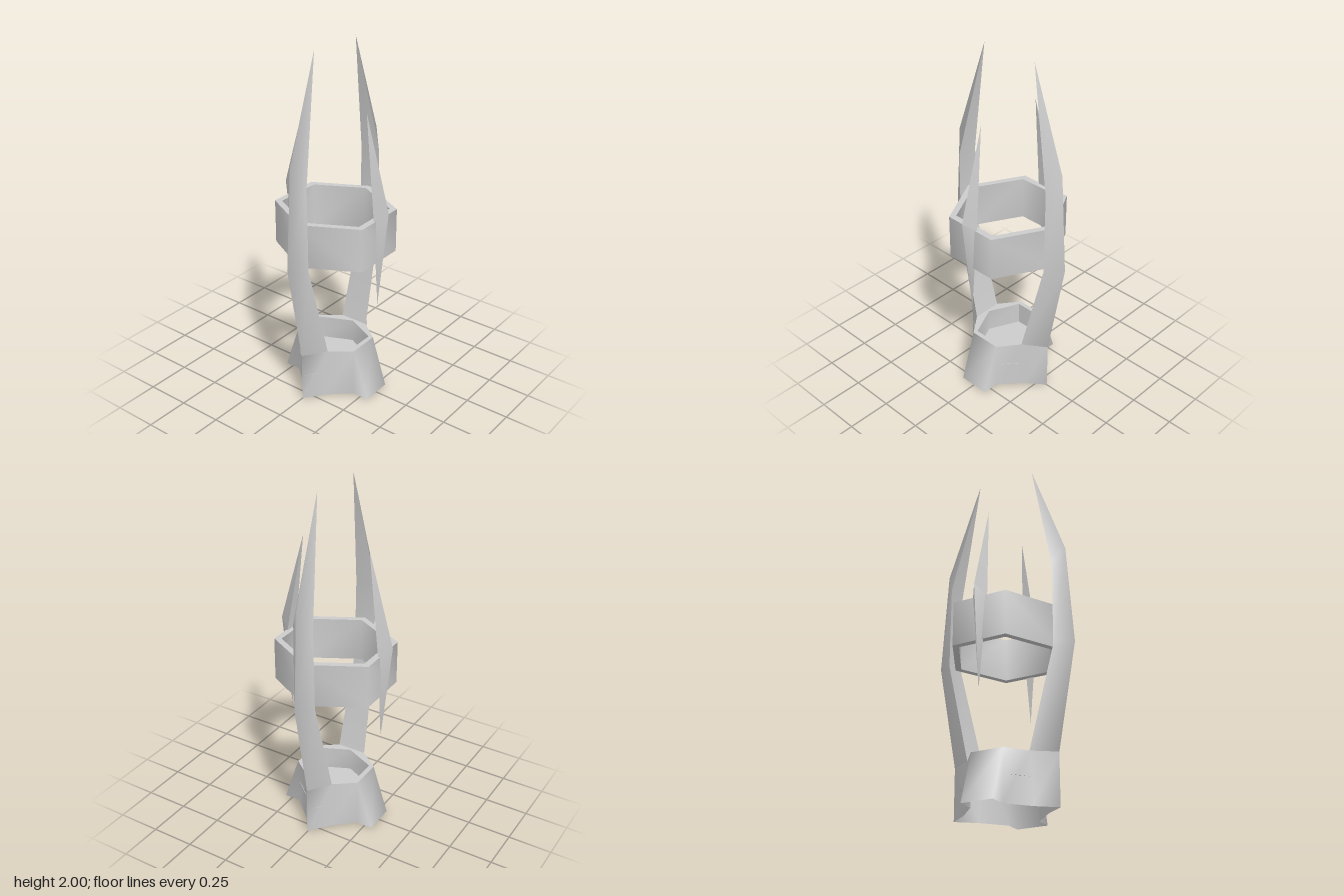
import * as THREE from 'three';
import { toCreasedNormals } from 'three/addons/utils/BufferGeometryUtils.js';

// Skin over closed cross-sections; each is a list of [x, y, z] turning from +x towards +z
function loft(sections, crease) {
  const n = sections[0].length;
  const index = [];
  for (let s = 0; s < sections.length - 1; s++) {
    for (let i = 0; i < n; i++) {
      const a = s * n + i, b = s * n + (i + 1) % n;
      index.push(a, a + n, b, b, a + n, b + n);
    }
  }
  const g = new THREE.BufferGeometry();
  g.setAttribute('position', new THREE.Float32BufferAttribute(sections.flat(2), 3));
  g.setIndex(index);
  return toCreasedNormals(g, crease);
}

// Mirrors a quarter outline, given from the +x side to the +z tip, all the way round
function mirrorOutline(quarter) {
  const half = [...quarter];
  for (const [x, z] of [...quarter].reverse()) if (x > 0) half.push([-x, z]);
  const back = [...half].reverse().filter(([, z]) => z > 0).map(([x, z]) => [x, -z]);
  return [...half, ...back];
}

const atHeight = (outline, y) => outline.map(([x, z]) => [x, y, z]);
const toPoints = (outline) => outline.map(([x, z]) => new THREE.Vector2(x, -z));

function plate(outline, y, hole) {
  const shape = new THREE.Shape(toPoints(outline));
  if (hole) shape.holes.push(new THREE.Path(toPoints(hole)));
  return new THREE.ShapeGeometry(shape).rotateX(-Math.PI / 2).translate(0, y, 0);
}

// Three-sided blade: rows of inner height, inner z, half width, ridge height, ridge z
function blade(rows) {
  return loft(rows.map(([yi, zi, w, yo, zo]) => [[w, yi, zi], [0, yo, zo], [-w, yi, zi]]), 2.0);
}

export function createModel() {
  const model = new THREE.Group();
  const metal = new THREE.MeshStandardMaterial({ color: 0xcccccc, side: THREE.DoubleSide });
  metal.name = 'grey metal';

  const add = (name, geometry, turn = 0) => {
    const mesh = new THREE.Mesh(geometry, metal);
    mesh.name = name;
    mesh.rotation.y = turn;
    model.add(mesh);
  };

  // Hollow base: flared side fins and a ridge at front and back
  const rimY = 0.285, floorY = 0.15;
  const foot = mirrorOutline([[0.295, 0.09], [0.2, 0.09], [0.08, 0.2], [0, 0.305]]);
  const top = mirrorOutline([[0.2, 0.092], [0.2, 0.092], [0.085, 0.18], [0, 0.305]]);
  const rim = mirrorOutline([[0.2, 0.092], [0.085, 0.18]]);
  const well = mirrorOutline([[0.175, 0.085], [0, 0.165]]);
  add('baseShell', loft([atHeight(foot, 0), atHeight(top, rimY)], 2.0));
  add('baseRim', plate(rim, rimY, well));
  add('baseWell', loft([atHeight(well, rimY), atHeight(well, floorY)], 1.13));
  add('baseFloor', plate(mirrorOutline([[0.2, 0.09], [0.083, 0.19], [0, 0.305]]), floorY));

  // Six-sided ring
  const ringShape = new THREE.Shape(toPoints(mirrorOutline([[0.295, 0.157], [0, 0.315]])));
  ringShape.holes.push(new THREE.Path(toPoints(mirrorOutline([[0.26, 0.138], [0, 0.278]]))));
  const ring = new THREE.ExtrudeGeometry(ringShape, { depth: 0.25, bevelEnabled: false });
  ring.rotateX(-Math.PI / 2).translate(0, 0.85, 0);
  add('ring', toCreasedNormals(ring, 1.13));

  // Tall prongs rising from the base
  const prong = blade([
    [rimY, 0.18, 0.085, rimY, 0.305],
    [0.85, 0.315, 0.065, 0.87, 0.41],
    [1.32, 0.315, 0.06, 1.44, 0.37],
    [2, 0.17, 0, 2, 0.17],
  ]);
  add('frontProng', prong);
  add('backProng', prong, Math.PI);

  // Short spikes on the sides of the ring
  const spike = blade([
    [0.58, 0.29, 0, 0.58, 0.29],
    [1.1, 0.286, 0.043, 1.15, 0.35],
    [1.67, 0.2, 0, 1.67, 0.2],
  ]);
  add('leftSpike', spike, Math.PI / 2);
  add('rightSpike', spike, -Math.PI / 2);

  return model;
}
